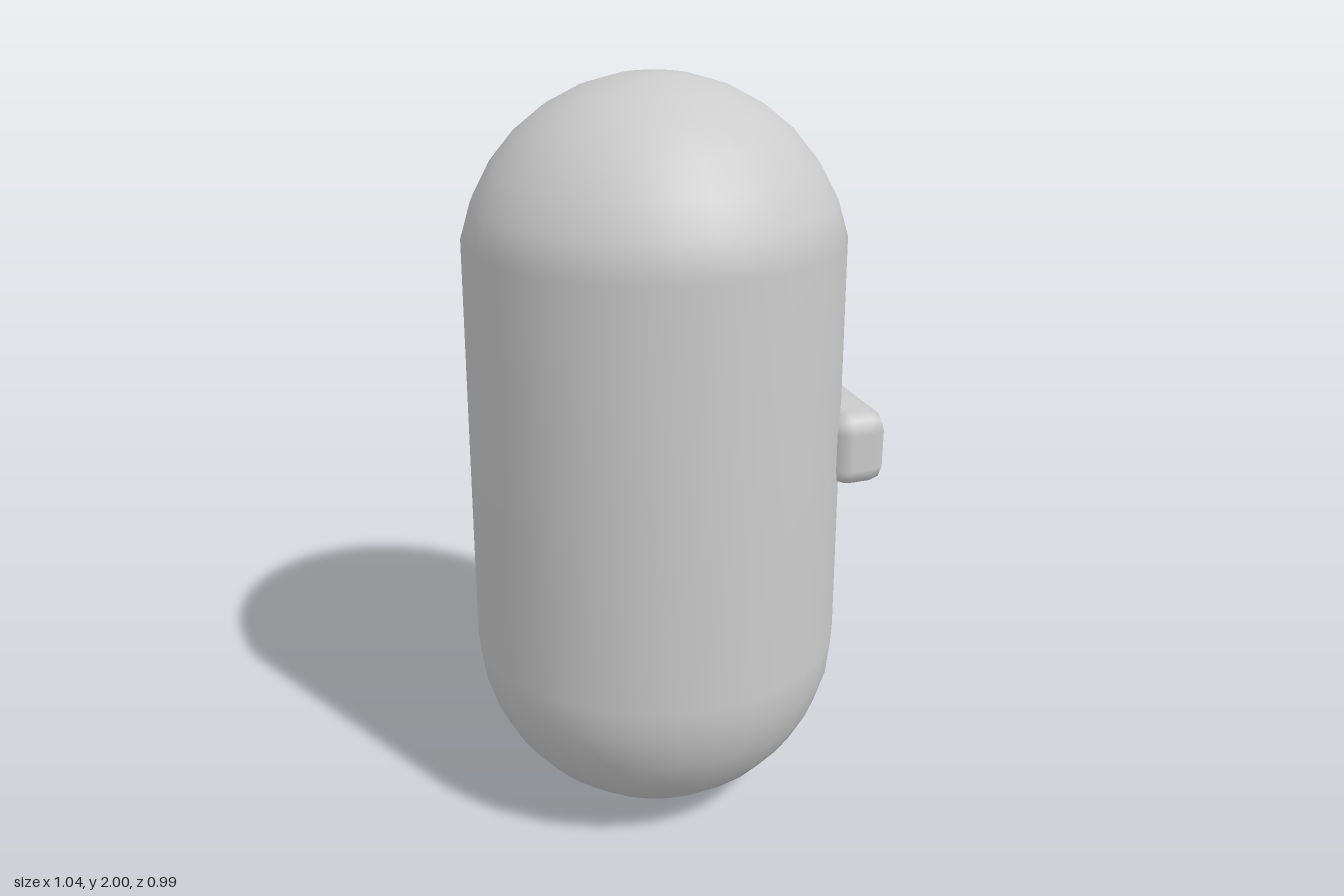
import * as THREE from 'three';
import { RoundedBoxGeometry } from 'three/addons/geometries/RoundedBoxGeometry.js';

export function createModel() {
  const group = new THREE.Group();
  const material = new THREE.MeshStandardMaterial({ color: 0xcccccc });

  // Capsule body: two domes of 8 rings joined by a slightly tapering wall.
  const radius = 0.495;
  const rings = 8;
  const profile = [];
  const addRing = (i, centerY) => {
    const a = (i / rings) * Math.PI / 2;
    const r = Math.abs(i) === rings ? 0 : radius * Math.cos(a);
    profile.push(new THREE.Vector2(r, centerY + radius * Math.sin(a)));
  };
  for (let i = -rings; i <= 0; i++) addRing(i, radius);
  for (let i = 1; i <= rings; i++) addRing(i, 2 - radius);

  const body = new THREE.Mesh(new THREE.LatheGeometry(profile, 32), material);
  body.name = 'body';
  body.position.x = -0.025;
  group.add(body);

  // Rounded bar set into the side of the body.
  const bar = new THREE.Mesh(new RoundedBoxGeometry(0.155, 0.2, 0.6, 1, 0.05), material);
  bar.name = 'sideBar';
  bar.position.set(0.4425, 1.055, 0);
  group.add(bar);

  return group;
}
